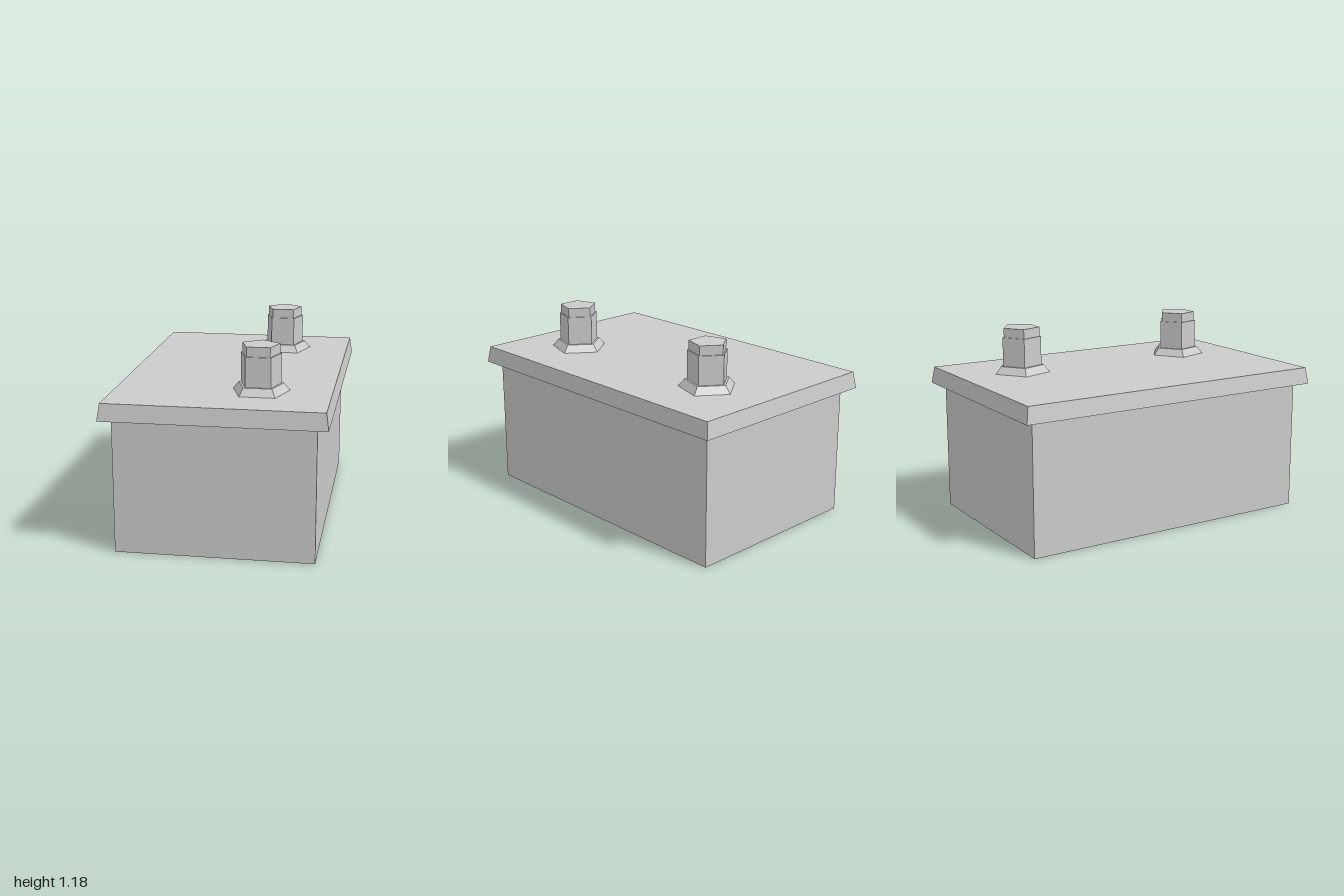
import * as THREE from 'three';

const material = new THREE.MeshStandardMaterial({ color: 0xcccccc, flatShading: true });

function addMesh(parent, name, geometry, y) {
  const mesh = new THREE.Mesh(geometry, material);
  mesh.name = name;
  mesh.position.y = y;
  parent.add(mesh);
  return mesh;
}

// Box whose top face is pulled in by `inset` on every side
function taperedBox(width, height, depth, inset) {
  const geometry = new THREE.BoxGeometry(width, height, depth);
  const p = geometry.attributes.position;
  for (let i = 0; i < p.count; i++) {
    if (p.getY(i) < 0) continue;
    p.setX(i, p.getX(i) - Math.sign(p.getX(i)) * inset);
    p.setZ(i, p.getZ(i) - Math.sign(p.getZ(i)) * inset);
  }
  geometry.computeVertexNormals();
  return geometry;
}

// Five-sided stage with one corner pointing to the back
function pentagon(topRadius, bottomRadius, height) {
  return new THREE.CylinderGeometry(topRadius, bottomRadius, height, 5, 1, false, Math.PI);
}

// Terminal: flared collar, post and slightly narrower cap
function createTerminal() {
  const terminal = new THREE.Group();
  const stages = [
    ['terminalCollar', 0.14, 0.177, 0.905, 0.95],
    ['terminalPost', 0.125, 0.125, 0.95, 1.127],
    ['terminalCap', 0.116, 0.116, 1.127, 1.185],
  ];
  for (const [name, top, bottom, y0, y1] of stages) {
    addMesh(terminal, name, pentagon(top, bottom, y1 - y0), (y0 + y1) / 2);
  }
  return terminal;
}

export function createModel() {
  const model = new THREE.Group();
  model.name = 'battery';

  // Case and overhanging lid
  addMesh(model, 'case', new THREE.BoxGeometry(1.165, 0.803, 1.87), 0.4015);
  addMesh(model, 'lid', taperedBox(1.298, 0.102, 2, 0.015), 0.854);

  // Two terminals along the left side of the lid
  for (const [name, z] of [['frontTerminal', 0.583], ['backTerminal', -0.583]]) {
    const terminal = createTerminal();
    terminal.name = name;
    terminal.position.set(0.216, 0, z);
    model.add(terminal);
  }
  return model;
}
